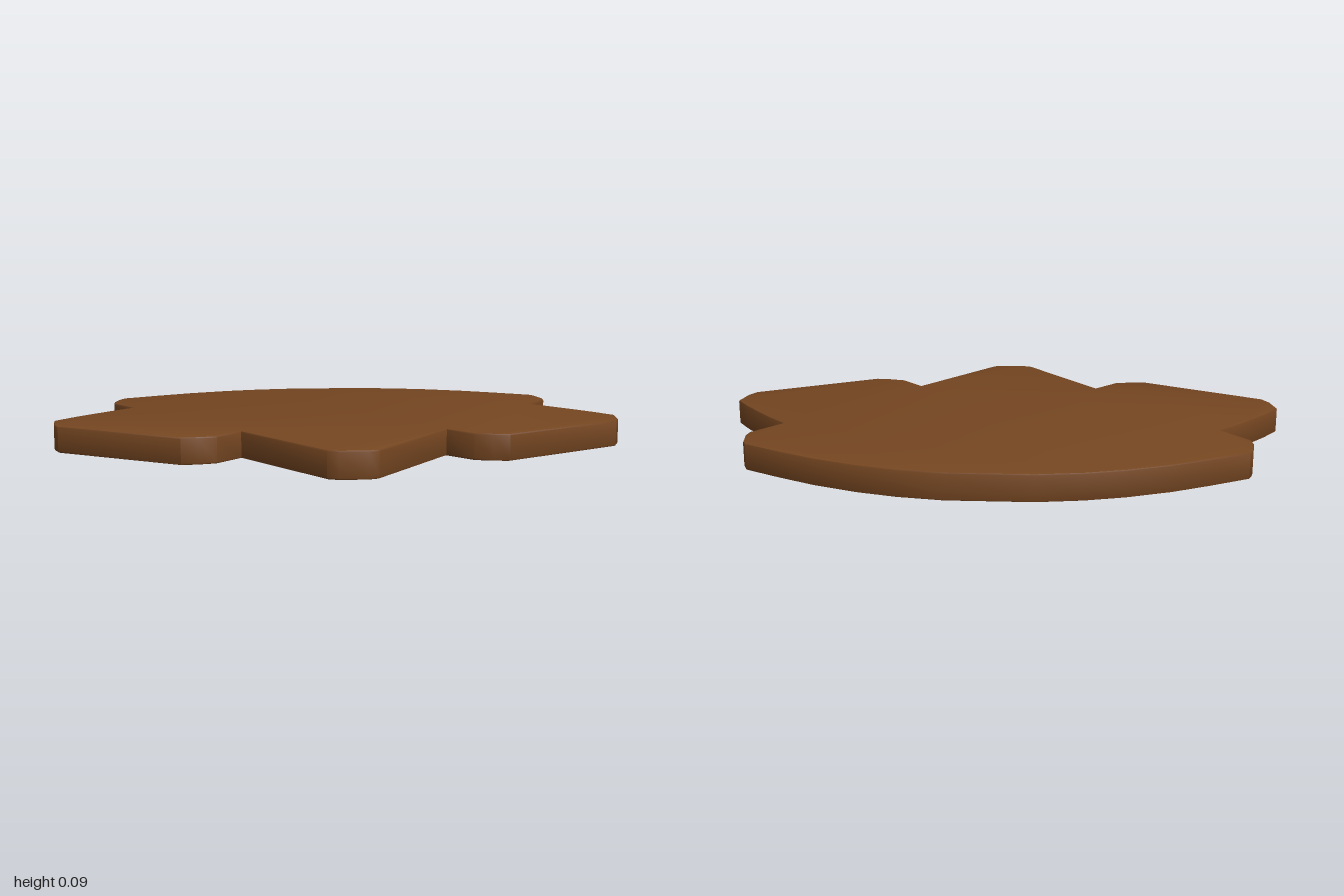
import * as THREE from 'three';
import { toCreasedNormals } from 'three/addons/utils/BufferGeometryUtils.js';

const HEIGHT = 0.092;
const BEVEL = 0.006;

// Half outline in (x, z), from the middle of the back to the middle of the front
const HALF = [
  [0.14, -0.733], [0.29, -0.709], [0.42, -0.672], [0.565, -0.613], [0.69, -0.546], // curved back
  [0.82, -0.47], [0.834, -0.44], [0.846, -0.37], [0.842, -0.33],                   // back shoulder
  [0.755, -0.212],                                                                // side notch
  [0.82, -0.142], [0.882, -0.068], [0.945, 0.012],                                 // swept wing edge
  [0.998, 0.09], [0.985, 0.175], [0.965, 0.218],                                   // wing tip
  [0.535, 0.466], [0.48, 0.46], [0.42, 0.444],                                     // front lobe
  [0.343, 0.356],                                                                 // front notch
  [0.08, 0.718], [0.045, 0.731],                                                   // centre point
];

export function createModel() {
  const group = new THREE.Group();
  group.name = 'leafPlaque';

  const wood = new THREE.MeshStandardMaterial({ color: 0x754621 });
  wood.name = 'brown wood';

  // Mirror the half outline to close the shape
  const mirrored = HALF.map(([x, z]) => [-x, z]).reverse();
  const outline = [...HALF, ...mirrored].map(([x, z]) => new THREE.Vector2(x, z));

  // Flat slab with slightly eased edges, laid down on y = 0
  const slab = new THREE.ExtrudeGeometry(new THREE.Shape(outline), {
    depth: HEIGHT - 2 * BEVEL,
    bevelThickness: BEVEL,
    bevelSize: BEVEL,
    bevelOffset: -BEVEL,
    bevelSegments: 2,
  });
  slab.rotateX(Math.PI / 2);
  slab.translate(0, HEIGHT - BEVEL, 0);

  const plaque = new THREE.Mesh(toCreasedNormals(slab, 0.6), wood);
  plaque.name = 'plaque';
  group.add(plaque);
  return group;
}
